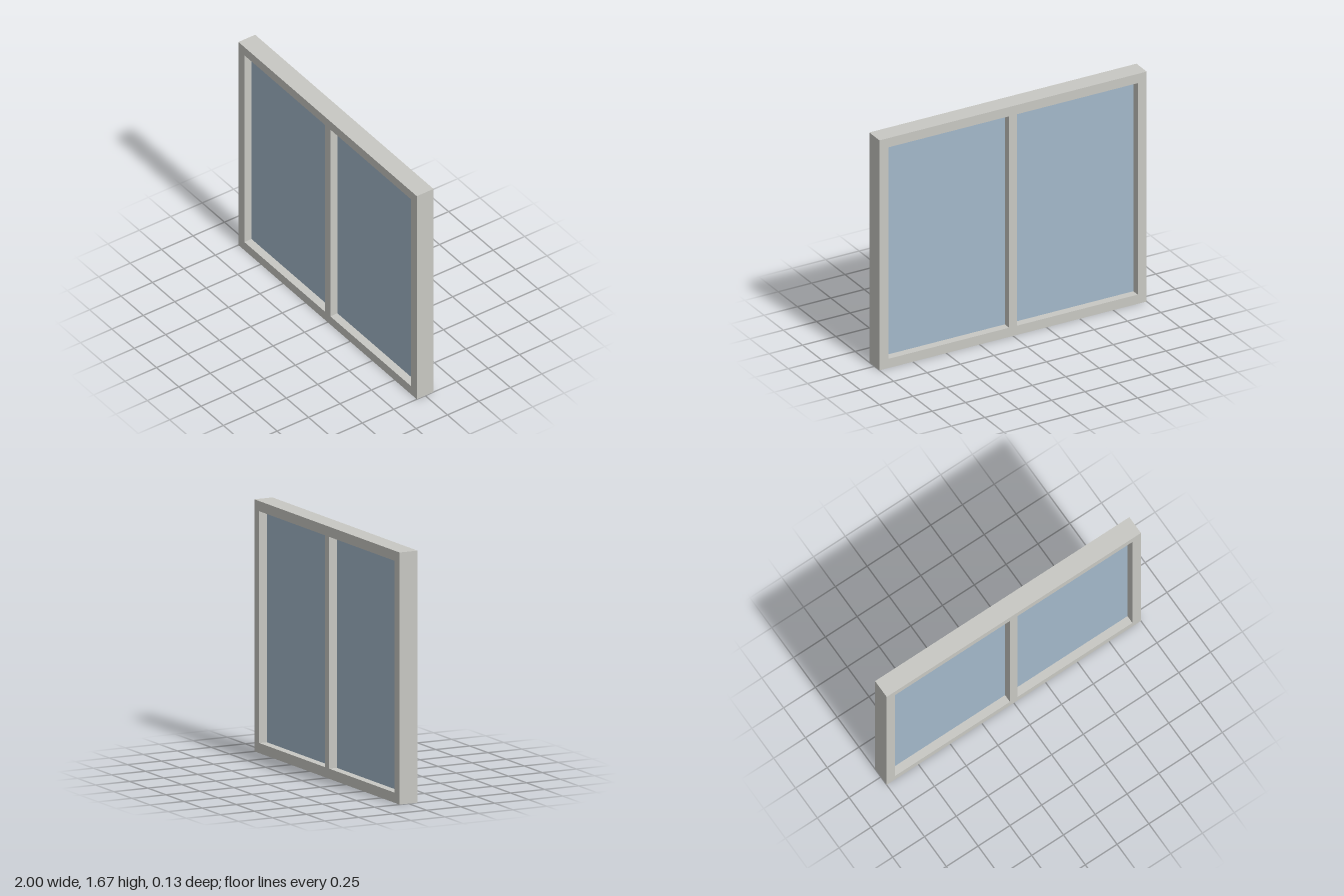
import * as THREE from 'three';

const W = 2, H = 1.667, D = 0.133;   // overall size
const BORDER = 0.067, MULLION = 0.06, GLASS = 0.02;

export function createModel() {
  const frameMat = new THREE.MeshStandardMaterial({ color: 0xc8c8c3 });
  frameMat.name = 'warm grey frame';
  const glassMat = new THREE.MeshStandardMaterial({ color: 0xa3b8ca });
  glassMat.name = 'pale blue glass';

  const model = new THREE.Group();
  model.name = 'window';

  const rect = (path, x0, y0, x1, y1) =>
    path.moveTo(x0, y0).lineTo(x1, y0).lineTo(x1, y1).lineTo(x0, y1).closePath();

  const outline = rect(new THREE.Shape(), -W / 2, 0, W / 2, H);
  const paneW = W / 2 - BORDER - MULLION / 2, paneH = H - 2 * BORDER;

  // One opening and one recessed pane on each side of the mullion
  for (const [side, name] of [[-1, 'rightPane'], [1, 'leftPane']]) {
    const cx = side * (MULLION + paneW) / 2;
    outline.holes.push(rect(new THREE.Path(),
      cx - paneW / 2, BORDER, cx + paneW / 2, H - BORDER));
    const pane = new THREE.Mesh(new THREE.BoxGeometry(paneW, paneH, GLASS), glassMat);
    pane.position.set(cx, H / 2, 0);
    pane.name = name;
    model.add(pane);
  }

  // Frame and central mullion in one flush piece
  const geometry = new THREE.ExtrudeGeometry(outline, { depth: D, bevelEnabled: false });
  geometry.translate(0, 0, -D / 2);
  const frame = new THREE.Mesh(geometry, frameMat);
  frame.name = 'frame';
  model.add(frame);

  return model;
}
